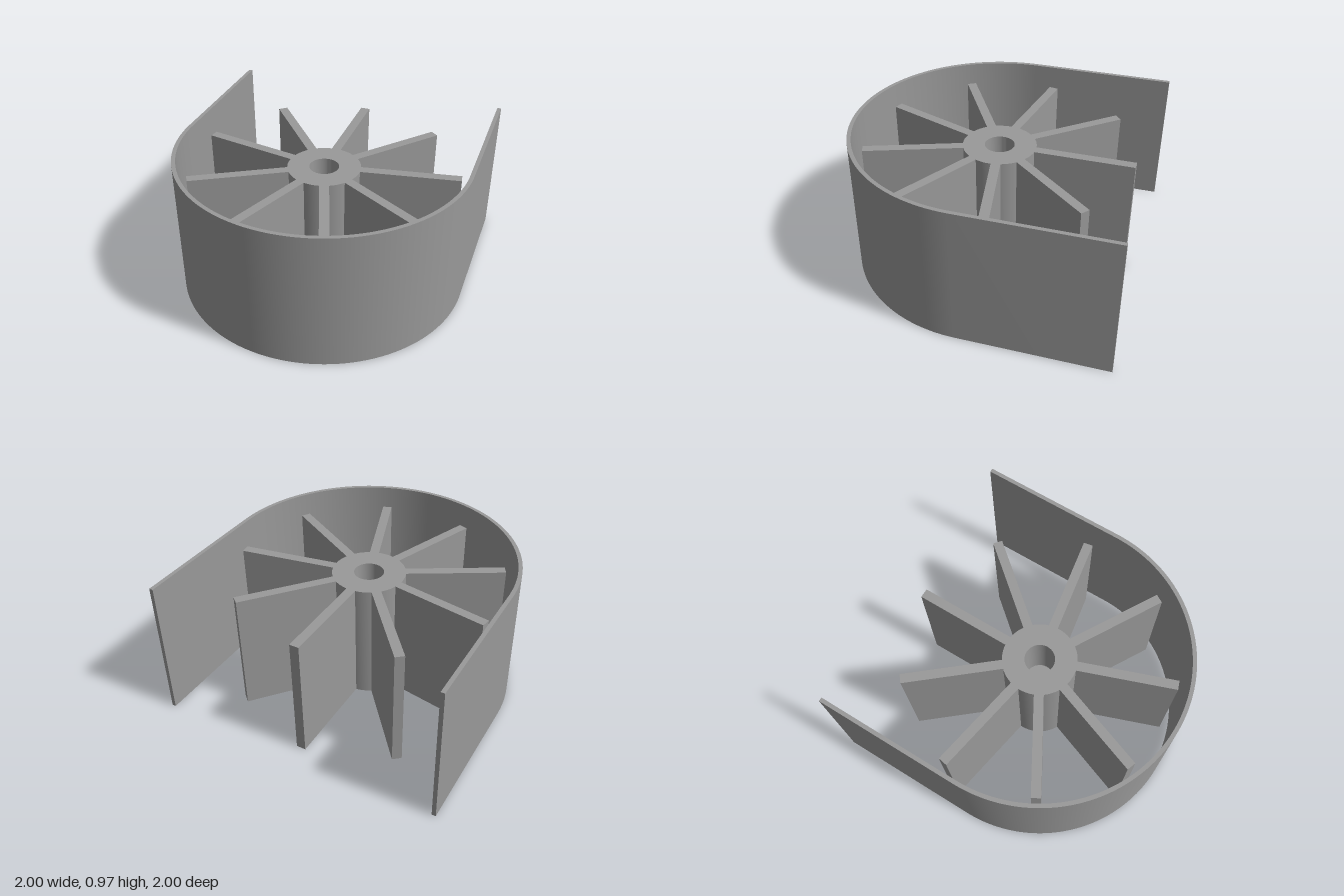
import * as THREE from 'three';
import { toCreasedNormals } from 'three/addons/utils/BufferGeometryUtils.js';

const grey = new THREE.MeshStandardMaterial({ color: 0x999999 });
grey.name = 'grey';

const HOUSING_HEIGHT = 0.97, WHEEL_HEIGHT = 0.84;

function part(name, geometry) {
  const mesh = new THREE.Mesh(geometry, grey);
  mesh.name = name;
  return mesh;
}

// U-shaped wall: half circle at the front, straight sides open to the back
function housing() {
  const outer = 1, inner = 0.973;
  const s = new THREE.Shape();
  s.moveTo(outer, 1);
  s.lineTo(outer, 0);
  s.absarc(0, 0, outer, 0, Math.PI, true);
  s.lineTo(-outer, 1);
  s.lineTo(-inner, 1);
  s.lineTo(-inner, 0);
  s.absarc(0, 0, inner, Math.PI, 0, false);
  s.lineTo(inner, 1);
  s.closePath();
  const g = new THREE.ExtrudeGeometry(s, { depth: HOUSING_HEIGHT, bevelEnabled: false, curveSegments: 64 });
  g.rotateX(-Math.PI / 2);
  return part('housing', toCreasedNormals(g, 0.5));
}

// Hub bored from both ends, with a thin web holding the shaft hole
function hub() {
  const R = 0.248, bore = 0.1, shaft = 0.035, h = WHEEL_HEIGHT;
  const profile = [
    [R, 0], [R, h], [bore, h], [bore, 0.47], [shaft, 0.47],
    [shaft, 0.37], [bore, 0.37], [bore, 0], [R, 0],
  ].map(([r, y]) => new THREE.Vector2(r, y));
  return part('hub', toCreasedNormals(new THREE.LatheGeometry(profile, 64), 0.5));
}

export function createModel() {
  const model = new THREE.Group();
  model.name = 'paddleWheelInHousing';
  model.add(housing());

  const wheel = new THREE.Group();
  wheel.name = 'paddleWheel';
  wheel.add(hub());

  // Nine radial blades, the first pointing straight back
  const start = 0.23, tip = 0.915, count = 9;
  const blade = new THREE.BoxGeometry(0.064, WHEEL_HEIGHT, tip - start);
  blade.translate(0, WHEEL_HEIGHT / 2, -(start + tip) / 2);
  for (let i = 0; i < count; i++) {
    const b = part('blade' + (i + 1), blade);
    b.rotation.y = (i / count) * Math.PI * 2;
    wheel.add(b);
  }
  model.add(wheel);
  return model;
}
